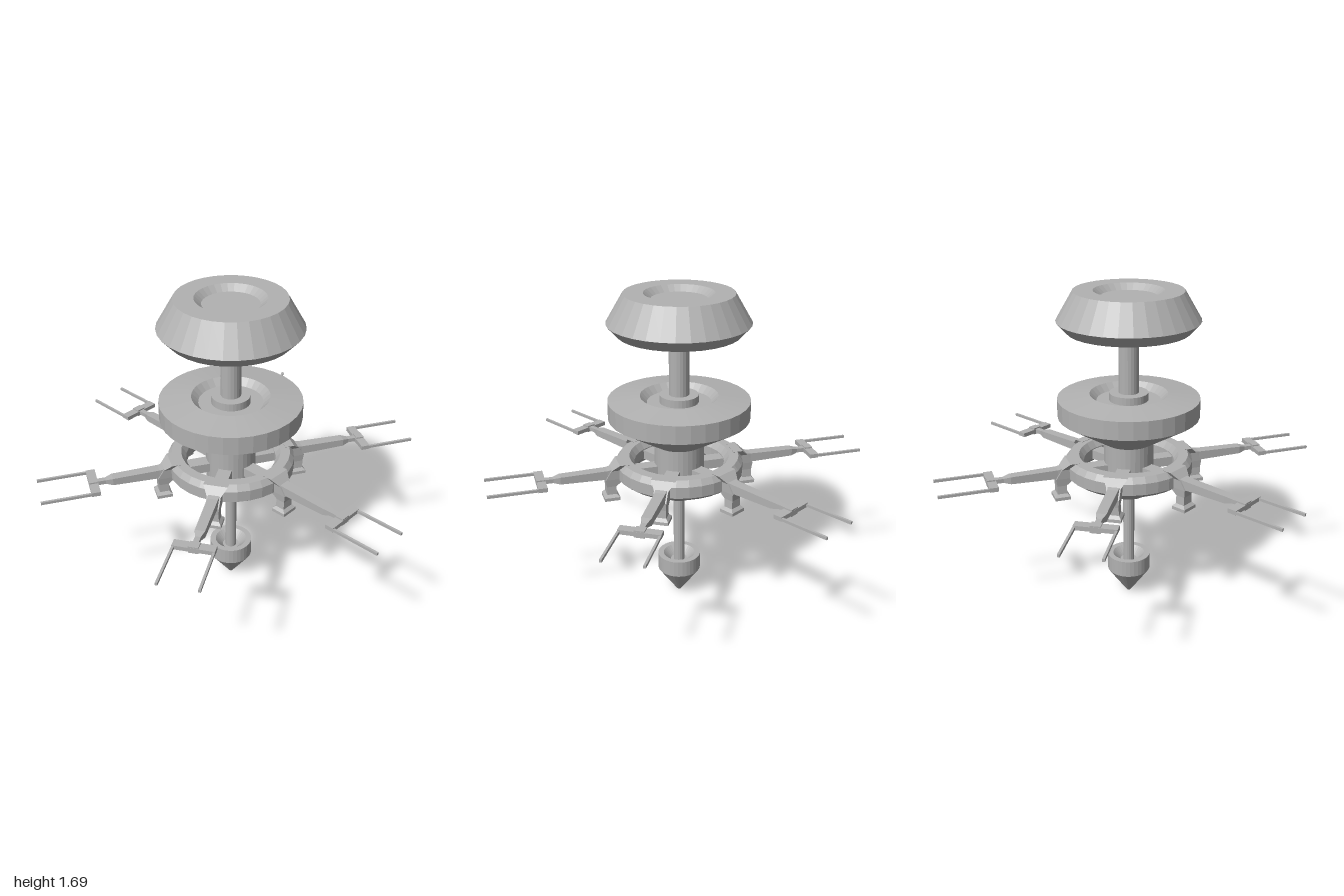
import * as THREE from 'three';

const SIDES = 32;

// Split faces so every facet is shaded flat
function flat(geometry) {
  const g = geometry.index ? geometry.toNonIndexed() : geometry;
  g.computeVertexNormals();
  return g;
}

// Joins four-cornered cross-sections, each counter-clockwise seen from the far end
function loft(rings) {
  const index = [];
  for (let r = 0; r < rings.length - 1; r++) {
    for (let i = 0; i < 4; i++) {
      const a = r * 4 + i, b = r * 4 + (i + 1) % 4;
      index.push(a, b, b + 4, a, b + 4, a + 4);
    }
  }
  const e = (rings.length - 1) * 4;
  index.push(0, 2, 1, 0, 3, 2, e, e + 1, e + 2, e, e + 2, e + 3);
  const g = new THREE.BufferGeometry();
  g.setAttribute('position', new THREE.Float32BufferAttribute(rings.flat(2), 3));
  g.setIndex(index);
  return flat(g);
}

// Stations along x: [x, low y, high y, half width]
const loftX = (stations) => loft(stations.map(([x, lo, hi, w]) =>
  [[x, lo, -w], [x, hi, -w], [x, hi, w], [x, lo, w]]));

// Stations along y: [y, inner x, outer x, half width]
const loftY = (stations) => loft(stations.map(([y, x0, x1, w]) =>
  [[x0, y, -w], [x0, y, w], [x1, y, w], [x1, y, -w]]));

export function createModel() {
  const model = new THREE.Group();
  model.name = 'spaceStation';
  const hull = new THREE.MeshStandardMaterial({ color: 0xb2b2b2 });
  hull.name = 'hullGrey';

  const add = (parent, name, geometry) => {
    const mesh = new THREE.Mesh(geometry, hull);
    mesh.name = name;
    parent.add(mesh);
    return mesh;
  };
  const turned = (name, profile, sides = SIDES) => add(model, name,
    flat(new THREE.LatheGeometry(profile.map(([r, y]) => new THREE.Vector2(r, y)), sides)));

  // Upper disc with a dished top and a hollow underside
  turned('upperDisc', [
    [0, 1.485], [0.11, 1.485], [0.15, 1.52], [0.24, 1.52], [0.26, 1.49],
    [0.31, 1.49], [0.36, 1.545], [0.275, 1.69], [0.175, 1.69], [0.14, 1.66], [0, 1.66],
  ]);
  turned('upperShaft', [[0.052, 1.12], [0.052, 1.5]], 20);

  // Main disc, its neck and the core below
  turned('mainDisc', [
    [0.13, 0.905], [0.365, 1.05], [0.365, 1.145], [0.2, 1.165],
    [0.165, 1.13], [0.1, 1.13], [0.1, 1.17], [0.08, 1.17], [0, 1.17],
  ]);
  turned('core', [
    [0, 0.645], [0.055, 0.645], [0.08, 0.61], [0.1, 0.61], [0.13, 0.64], [0.13, 0.906],
  ]);

  // Docking ring
  turned('dockingRing', [
    [0.235, 0.75], [0.255, 0.72], [0.3, 0.72], [0.332, 0.745], [0.332, 0.805],
    [0.31, 0.835], [0.26, 0.835], [0.235, 0.8], [0.235, 0.75],
  ]);

  // Lower mast and pointed tip
  turned('lowerMast', [[0.03, 0.18], [0.03, 0.66]], 16);
  turned('tip', [
    [0, 0], [0.012, 0.004], [0.115, 0.15], [0.115, 0.24], [0.085, 0.24], [0.045, 0.2], [0, 0.2],
  ]);

  // Six identical docking arms around the ring
  for (let k = 0; k < 6; k++) {
    const arm = new THREE.Group();
    arm.name = 'dockingArm' + (k + 1);
    arm.rotation.y = k * Math.PI / 3;
    model.add(arm);

    add(arm, 'spoke', loftX([[0.11, 0.745, 0.795, 0.035], [0.25, 0.745, 0.795, 0.035]]));
    add(arm, 'bracketAndFoot', loftY([
      [0.635, 0.33, 0.41, 0.045], [0.652, 0.33, 0.41, 0.045], [0.667, 0.345, 0.395, 0.032],
      [0.71, 0.345, 0.395, 0.03], [0.75, 0.3, 0.4, 0.034], [0.8, 0.29, 0.37, 0.036],
      [0.837, 0.28, 0.33, 0.062],
    ]));
    add(arm, 'beam', loftX([
      [0.3, 0.745, 0.815, 0.036], [0.39, 0.752, 0.8, 0.027], [0.63, 0.757, 0.795, 0.025],
      [0.665, 0.765, 0.787, 0.014], [0.71, 0.765, 0.787, 0.014],
    ]));

    // Fork: central block, crossbar and two prongs
    const block = add(arm, 'forkBlock', flat(new THREE.BoxGeometry(0.042, 0.036, 0.05)));
    block.position.set(0.729, 0.775, 0);
    const bar = add(arm, 'crossbar', flat(new THREE.BoxGeometry(0.046, 0.022, 0.206)));
    bar.position.set(0.728, 0.775, 0);
    for (const side of [-1, 1]) {
      const prong = add(arm, 'prong', flat(new THREE.BoxGeometry(0.255, 0.014, 0.012)));
      prong.position.set(0.8725, 0.775, side * 0.097);
    }
  }
  return model;
}
